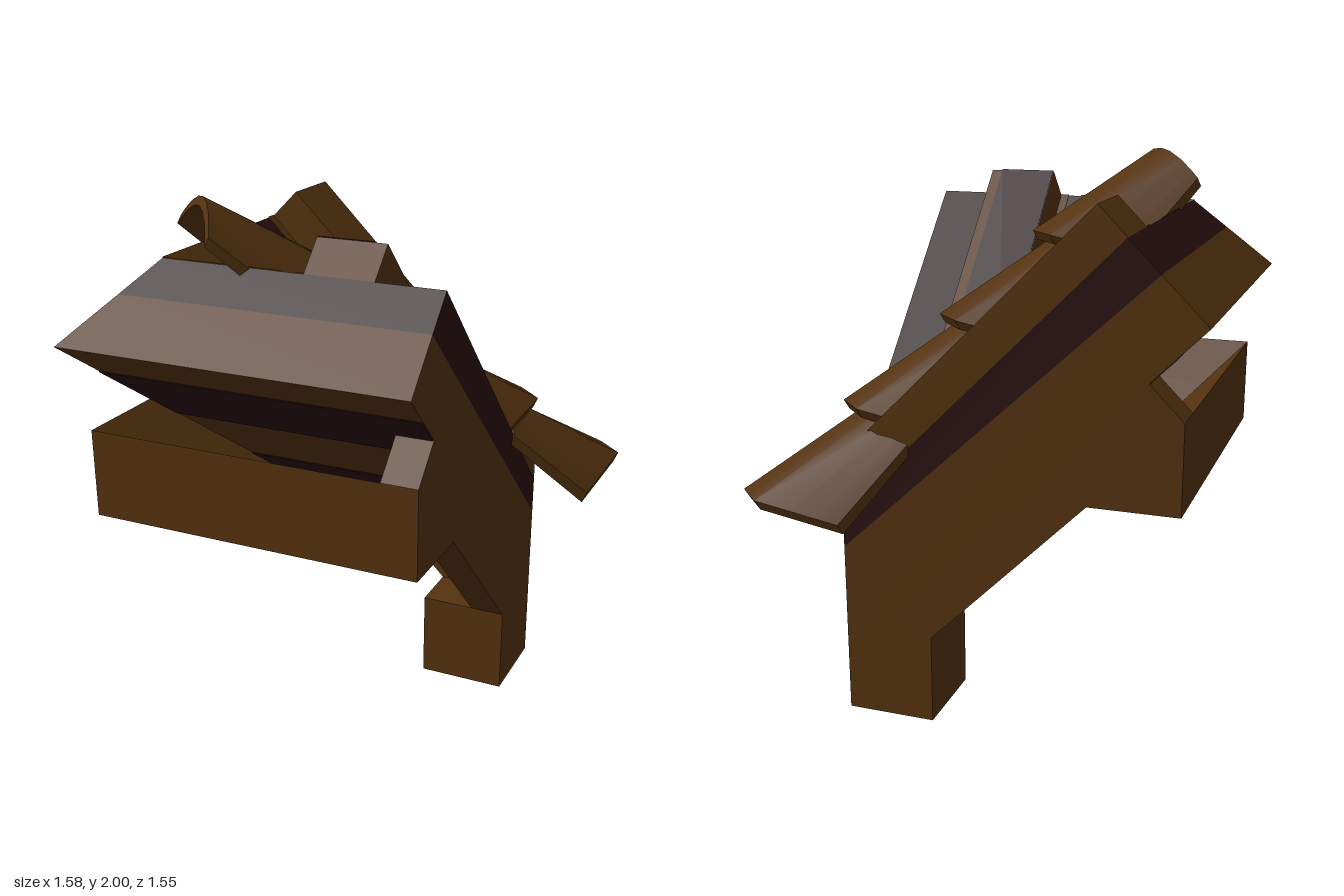
import * as THREE from 'three';
import { toCreasedNormals } from 'three/addons/utils/BufferGeometryUtils.js';

const wood = new THREE.MeshStandardMaterial({ color: 0x54320f });
wood.name = 'brown wood';
const dark = new THREE.MeshStandardMaterial({ color: 0x2a1012 });
dark.name = 'dark maroon';

// Solid between two matching cross-sections; each section is a ring of [x, y, z].
function loft(name, material, a, b) {
  const n = a.length, tris = [];
  const quad = (p, q, r, s) => tris.push([p, q, r], [p, r, s]);
  for (let i = 0; i < n; i++) {
    const j = (i + 1) % n;
    quad(a[i], a[j], b[j], b[i]);
  }
  for (let i = 0; i < n / 2 - 1; i++) {
    const k = n - 1 - i;
    quad(a[k], a[k - 1], a[i + 1], a[i]);
    quad(b[i], b[i + 1], b[k - 1], b[k]);
  }
  // Turn the faces outwards
  const v = tris.map((t) => t.map((p) => new THREE.Vector3(...p)));
  const c = a[0];
  const origin = new THREE.Vector3(...c);
  let volume = 0;
  for (const [p, q, r] of v) {
    const o = p.clone().sub(origin);
    volume += o.dot(q.clone().sub(origin).cross(r.clone().sub(origin)));
  }
  const pos = v.flatMap(([p, q, r]) => (volume < 0 ? [p, r, q] : [p, q, r]));
  const geo = new THREE.BufferGeometry().setFromPoints(pos);
  const mesh = new THREE.Mesh(toCreasedNormals(geo, 0.6), material);
  mesh.name = name;
  return mesh;
}

const END = 0.49;
const valley = (t) => -t - 0.03; // mitre line, gives x from z or z from x

// One roof wing; place() either keeps points or mirrors them across the valley.
function wing(name, place, surface) {
  const g = new THREE.Group();
  g.name = name;
  const add = (part, mat, a, b) => g.add(loft(part, mat, a.map(place), b.map(place)));
  const mitred = (part, mat, profile) => add(part, mat,
    profile.map(([z, y]) => [END, y, z]), profile.map(([z, y]) => [valley(z), y, z]));
  const plate = (part, mat, corners, k) => add(part, mat,
    corners.map(([x, z]) => [x, z + k, z]), corners.map(([x, z]) => [x, z + k + 0.006, z]));
  const stripe = (part, mat, x0, x1, k) => plate(part, mat,
    [[x0, valley(x0)], [x1, valley(x1)], [x1, 0.5], [x0, 0.5]], k);

  // Roof layers
  mitred('lowerRoofLayer', wood, [[0.77, 1.53], [0.61, 1.69], [-0.52, 0.64], [-0.52, 0.24]]);
  mitred('upperRoofLayer', dark, [[0.61, 1.69], [0.5, 1.8], [-0.52, 0.78], [-0.52, 0.64]]);

  // Triangular wall beam
  mitred('wallBeam', wood, [[0.7, 0.9], [0.7, 1.22], [0.54, 1.06], [0.38, 0.9]]);

  // End rafter
  const rafter = [[0.7, 1.22], [0.58, 1.34], [-0.52, 0.24], [-0.52, 0]];
  add('endRafter', wood, rafter.map(([z, y]) => [END, y, z]), rafter.map(([z, y]) => [0.36, y, z]));

  // Dark bands on the underside
  for (const [z0, z1] of [[-0.26, -0.08], [0.12, 0.3], [0.49, 0.67]]) {
    plate('undersideBand', dark,
      [[valley(z0), z0], [END - 0.004, z0], [END - 0.004, z1], [valley(z1), z1]], 0.756);
  }

  // Raised rib running down to the valley
  const ribSection = (x) => {
    const top = Math.max(valley(x) - 0.2, -0.52);
    return [[x, 1.8, 0.5], [x, 1.9, 0.4], [x, top + 1.5, top], [x, valley(x) + 1.3, valley(x)]];
  };
  add('raisedRib', wood, ribSection(surface.rib[0]), ribSection(surface.rib[1]));
  if (surface.ribDark) {
    const [x0, x1] = surface.ribDark;
    plate('ribTop', dark, [[x0, valley(x0) - 0.2], [x1, valley(x1) - 0.2], [x1, 0.4], [x0, 0.4]], 1.498);
  }

  // Brown boards on the upper surface
  for (const [x0, x1] of surface.boards) stripe('roofBoard', wood, x0, x1, 1.298);
  return g;
}

// Arched valley tile, wider and deeper at its lower end
function valleyTile(i) {
  const e0 = -0.62 + i * 0.375, y0 = 1.905 - i * 0.277;
  const steps = [-1, -0.85, -0.6, -0.28, 0, 0.28, 0.6, 0.85, 1];
  const point = (w, e, y) => [(e + w) * Math.SQRT1_2, y, (w - e) * Math.SQRT1_2];
  const ring = (f) => [
    ...steps.map((s) => point(...f(s, 0))),
    ...steps.slice().reverse().map((s) => point(...f(s, 1))),
  ];
  const upper = ring((s, inner) => {
    const b = 1 - s * s;
    return [0.2 * s, e0 + 0.035 * b - 0.015 * inner, y0 + 0.095 * b - 0.03 * inner];
  });
  const lower = ring((s, inner) => {
    const b = Math.min(1, (1 - Math.abs(s)) / 0.72);
    return [0.24 * s, e0 + 0.3 + 0.235 * b - 0.02 * inner, y0 - 0.26 + 0.07 * b - 0.035 * inner];
  });
  return loft('valleyTile', wood, upper, lower);
}

export function createModel() {
  const model = new THREE.Group();
  model.name = 'roofValleyCorner';

  model.add(wing('frontWing', (p) => p, {
    rib: [0, 0.25], ribDark: [0.003, 0.21], boards: [[-0.53, -0.08], [-0.03, 0]],
  }));
  model.add(wing('sideWing', ([x, y, z]) => [valley(z), y, valley(x)], {
    rib: [0.24, END], boards: [[-0.53, 0.01], [0.2, 0.24]],
  }));

  // Corner post
  const post = new THREE.Mesh(new THREE.BoxGeometry(0.33, 0.33, 0.33), wood);
  post.name = 'cornerPost';
  post.position.set(0.325, 0.165, -0.355);
  model.add(post);

  // Overlapping tiles along the valley
  for (let i = 0; i < 4; i++) model.add(valleyTile(i));
  return model;
}
